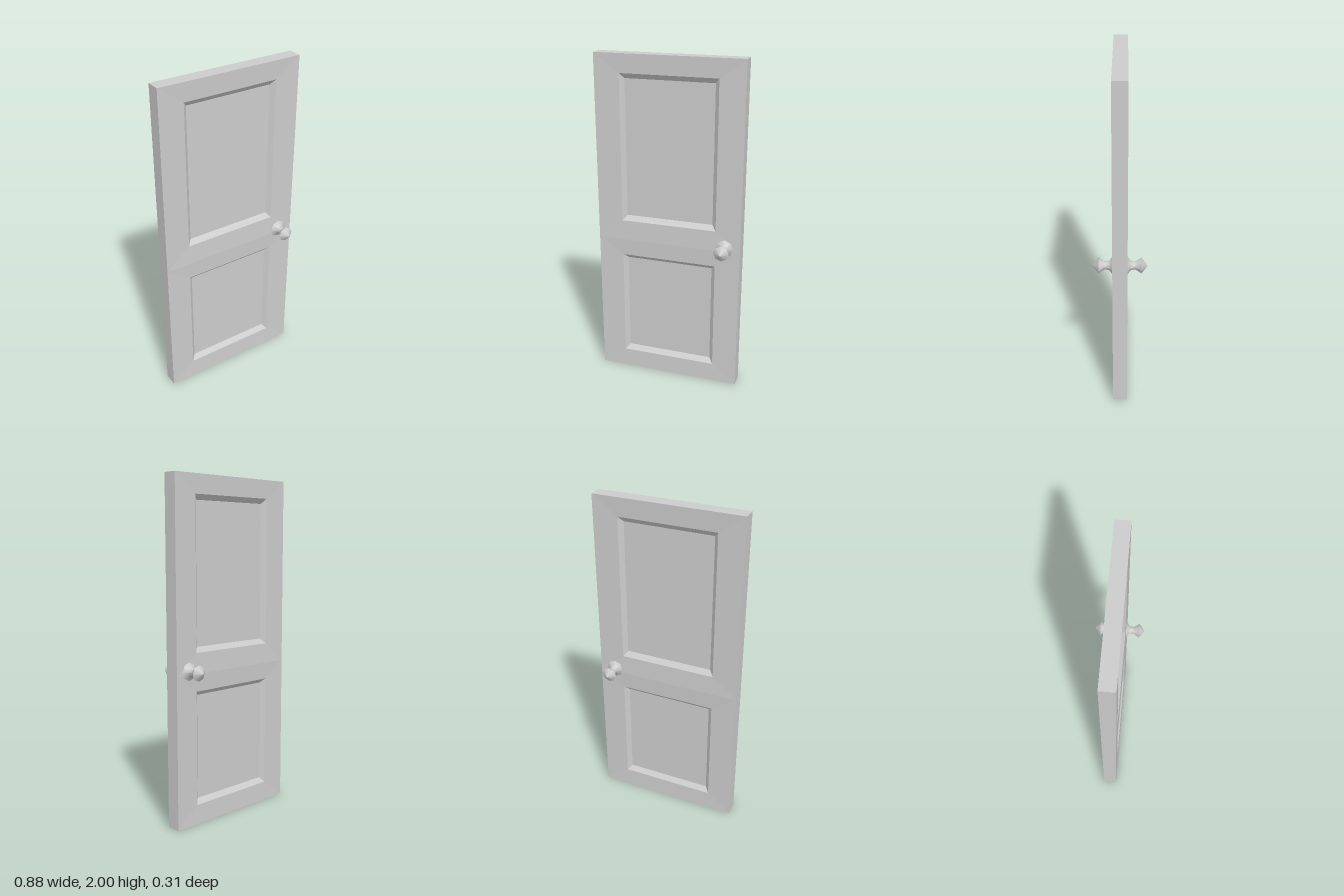
import * as THREE from 'three';
import { toCreasedNormals } from 'three/addons/utils/BufferGeometryUtils.js';

const HALF_W = 0.44, HEIGHT = 2, HALF_T = 0.042, RAIL_Y = 0.89;

// Joins a sequence of rectangles { w: half width, y0, y1, z } with mitred strips,
// optionally closing the last one.
function rectLoft(rects, cap) {
  const loops = rects.map(({ w, y0, y1, z }) => [[-w, y0, z], [w, y0, z], [w, y1, z], [-w, y1, z]]);
  const pos = [];
  const quad = (a, b, c, d) => pos.push(...a, ...b, ...c, ...a, ...c, ...d);
  for (let k = 0; k + 1 < loops.length; k++) {
    for (let i = 0; i < 4; i++) {
      const j = (i + 1) % 4;
      quad(loops[k][i], loops[k][j], loops[k + 1][j], loops[k + 1][i]);
    }
  }
  if (cap) quad(...loops[loops.length - 1]);
  const geo = new THREE.BufferGeometry();
  geo.setAttribute('position', new THREE.Float32BufferAttribute(pos, 3));
  geo.computeVertexNormals();
  return geo;
}

export function createModel() {
  const door = new THREE.Group();
  door.name = 'door';
  const flat = new THREE.MeshStandardMaterial({ color: 0xcccccc, flatShading: true });
  const smooth = new THREE.MeshStandardMaterial({ color: 0xcccccc });

  const add = (parent, name, geo, mat) => {
    const mesh = new THREE.Mesh(geo, mat);
    mesh.name = name;
    parent.add(mesh);
    return mesh;
  };

  // Outer edges of the slab
  const full = { w: HALF_W, y0: 0, y1: HEIGHT };
  add(door, 'doorEdges', rectLoft([{ ...full, z: -HALF_T }, { ...full, z: HALF_T }], false), flat);

  // Mitred frame, bevel and sunken panel, one cell above the rail and one below
  const panelGeo = (y0, y1, open0, open1, in0, in1) => rectLoft([
    { w: HALF_W, y0, y1, z: HALF_T },
    { w: 0.29, y0: open0, y1: open1, z: HALF_T - 0.004 },
    { w: 0.265, y0: in0, y1: in1, z: HALF_T - 0.028 },
  ], true);
  const upper = panelGeo(RAIL_Y, HEIGHT, 1.01, 1.89, 1.04, 1.86);
  const lower = panelGeo(0, RAIL_Y, 0.115, 0.787, 0.145, 0.762);

  // Octagonal knob turned along its axis: rosette, neck, pointed grip
  const profile = [[0.053, 0.038], [0.053, 0.042], [0.028, 0.059], [0.022, 0.086], [0.046, 0.12], [0, 0.155]]
    .map(([r, h]) => new THREE.Vector2(r, h));
  const knob = toCreasedNormals(new THREE.LatheGeometry(profile, 8).rotateX(Math.PI / 2), 0.82);

  // Both faces carry the same panels and a knob on the same edge
  for (const side of [1, -1]) {
    const face = new THREE.Group();
    face.name = side > 0 ? 'frontFace' : 'backFace';
    if (side < 0) face.rotation.y = Math.PI;
    add(face, 'upperPanel', upper, flat);
    add(face, 'lowerPanel', lower, flat);
    add(face, 'knob', knob, smooth).position.set(side * 0.346, 0.91, 0);
    door.add(face);
  }
  return door;
}
